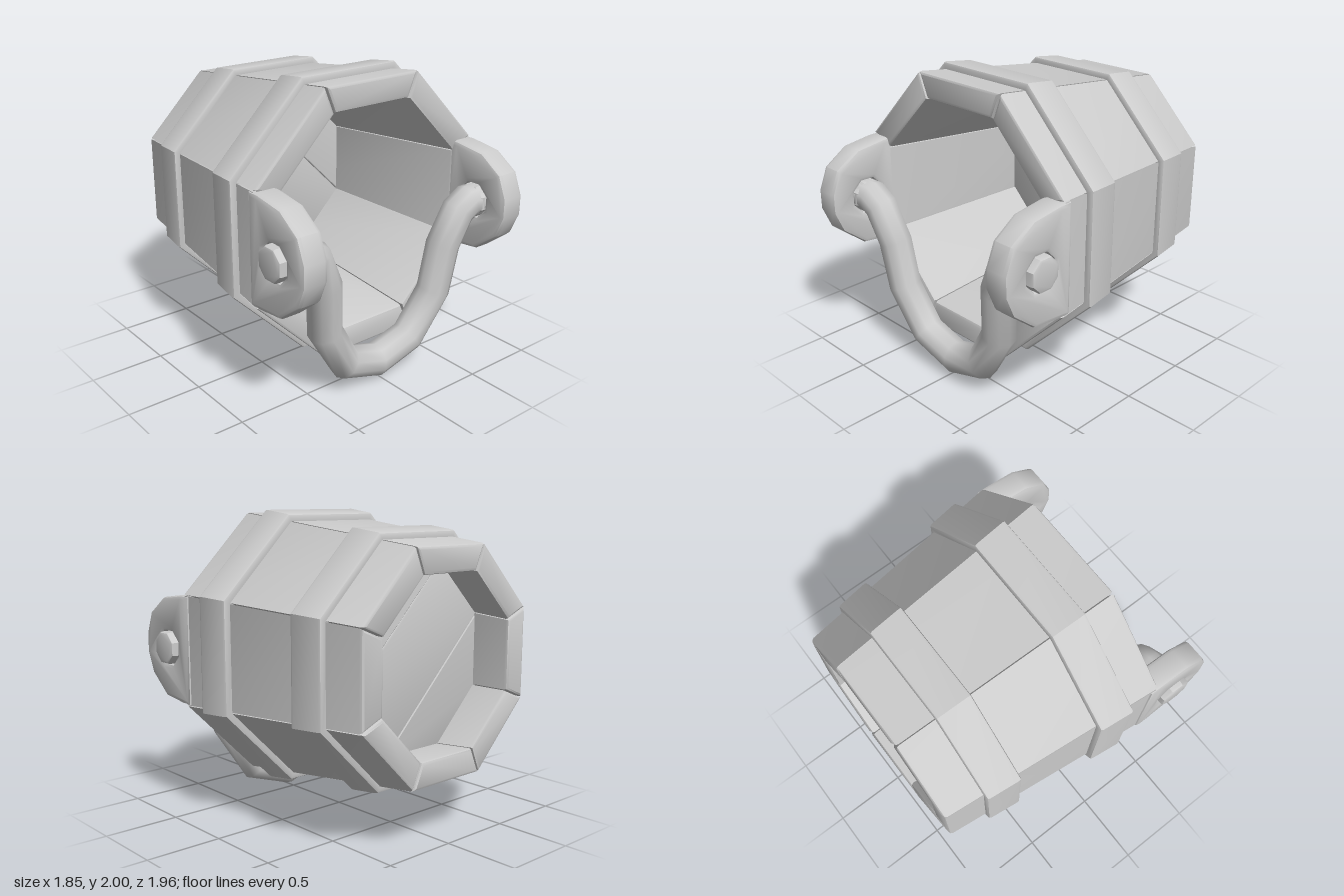
import * as THREE from 'three';
import { toCreasedNormals } from 'three/addons/utils/BufferGeometryUtils.js';

const AXIS_Y = 1.1, FRONT = 0.52, BACK = -0.98, TAPER = 0.113;
const R = 0.88, T = 0.165, TAN = Math.tan(Math.PI / 8);
const material = new THREE.MeshStandardMaterial({ color: 0xcccccc });

function add(parent, name, geometry) {
  const mesh = new THREE.Mesh(geometry, material);
  mesh.name = name;
  parent.add(mesh);
  return mesh;
}

const poly = (pts, Type = THREE.Shape) => new Type(pts.map(p => new THREE.Vector2(...p)));

// Regular polygon with flats facing the axes, given its apothem
function ring(apothem, sides = 8) {
  const r = apothem / Math.cos(Math.PI / sides);
  return Array.from({ length: sides }, (_, i) => {
    const a = (i + 0.5) * 2 * Math.PI / sides;
    return [r * Math.cos(a), r * Math.sin(a)];
  });
}

// Bevelled slab whose full outline and full depth z0..z1 include the bevel
function slab(shape, z0, z1, bevel) {
  return new THREE.ExtrudeGeometry(shape, {
    depth: z1 - z0 - 2 * bevel, bevelEnabled: true, bevelThickness: bevel,
    bevelSize: bevel, bevelOffset: -bevel, bevelSegments: 2, curveSegments: 8,
  }).translate(0, 0, z0 + bevel);
}

// Apply f(x, y, z) -> [x, y] to every vertex
function reshape(geometry, f) {
  const p = geometry.attributes.position;
  for (let i = 0; i < p.count; i++) p.setXY(i, ...f(p.getX(i), p.getY(i), p.getZ(i)));
  return geometry;
}

const smooth = g => toCreasedNormals(g, 0.6);

export function createModel() {
  const model = new THREE.Group();
  model.name = 'bucket';

  // Eight tapering staves
  const gap = 0.004, inner = R - T;
  const outline = poly([
    [-inner * TAN + gap, inner], [inner * TAN - gap, inner],
    [R * TAN - gap, R], [-R * TAN + gap, R],
  ]);
  const staveGeometry = smooth(reshape(slab(outline, BACK, FRONT, 0.022), (x, y, z) => {
    const ny = y - TAPER * (FRONT - z);
    return [x * ny / y, ny];
  }));
  for (let i = 0; i < 8; i++) {
    const stave = add(model, 'stave', staveGeometry);
    stave.position.y = AXIS_Y;
    stave.rotation.z = i * Math.PI / 4;
  }

  // Two octagonal hoops following the taper
  for (const [name, z0, z1] of [['frontHoop', 0.07, 0.305], ['backHoop', -0.715, -0.48]]) {
    const shape = poly(ring(R + 0.047));
    shape.holes.push(poly(ring(R - 0.04), THREE.Path));
    const hoop = reshape(slab(shape, z0, z1, 0.018), (x, y, z) => {
      const s = 1 - TAPER * (FRONT - z) / R;
      return [x * s, y * s];
    });
    add(model, name, smooth(hoop)).position.y = AXIS_Y;
  }

  // Three diagonal floor planks
  const floor = new THREE.Group();
  floor.name = 'floor';
  floor.position.y = AXIS_Y;
  floor.rotation.z = -Math.PI / 4;
  const f = 0.61, h = f * TAN;
  const planks = [
    [[-f, -h], [f, -h], [f, h], [-f, h]],
    [[-f, h], [f, h], [h, f], [-h, f]],
    [[-h, -f], [h, -f], [f, -h], [-f, -h]],
  ];
  for (const pts of planks) add(floor, 'floorPlank', smooth(slab(poly(pts), -0.68, -0.54, 0.012)));
  // planks run along the floor group's x axis
  model.add(floor);

  // Rounded ears with a pin through each
  const pinZ = 0.705, pinY = 1.1;
  const earPoints = [
    [0.46, 0.742], [0.55, 0.742], [0.75, 0.765], [0.92, 0.9], [0.98, 1.04],
    [0.98, 1.17], [0.92, 1.32], [0.76, 1.43], [0.55, 1.46], [0.46, 1.46],
  ];
  for (const side of [1, -1]) {
    const shape = poly(earPoints);
    shape.holes.push(poly(ring(0.108).map(([a, b]) => [a + pinZ, b + pinY]), THREE.Path));
    const ear = slab(shape, 0, 0.172, 0.028).rotateY(-Math.PI / 2);
    ear.translate(side > 0 ? 0.89 : -0.718, 0, 0);
    add(model, side > 0 ? 'leftEar' : 'rightEar', smooth(ear));

    const pin = slab(poly(ring(0.104)), -0.115, 0.115, 0.018).rotateY(Math.PI / 2);
    pin.translate(side * 0.81, pinY, pinZ);
    add(model, side > 0 ? 'leftPin' : 'rightPin', smooth(pin));
  }

  // Drooping handle with one ring of vertices per bend
  const half = [
    [0.78, 1.1, 0.705], [0.68, 1.1, 0.7], [0.6, 1.05, 0.695], [0.5, 0.83, 0.67],
    [0.465, 0.5, 0.635], [0.275, 0.2, 0.6],
  ];
  const mirrored = half.map(([x, y, z]) => [-x, y, z]).reverse();
  const points = [...half, [0, 0.113, 0.59], ...mirrored].map(p => new THREE.Vector3(...p));
  const path = new THREE.CatmullRomCurve3(points);
  path.getPointAt = path.getPoint;
  path.getTangentAt = path.getTangent;
  add(model, 'handle', new THREE.TubeGeometry(path, points.length - 1, 0.112, 10, false));

  return model;
}
